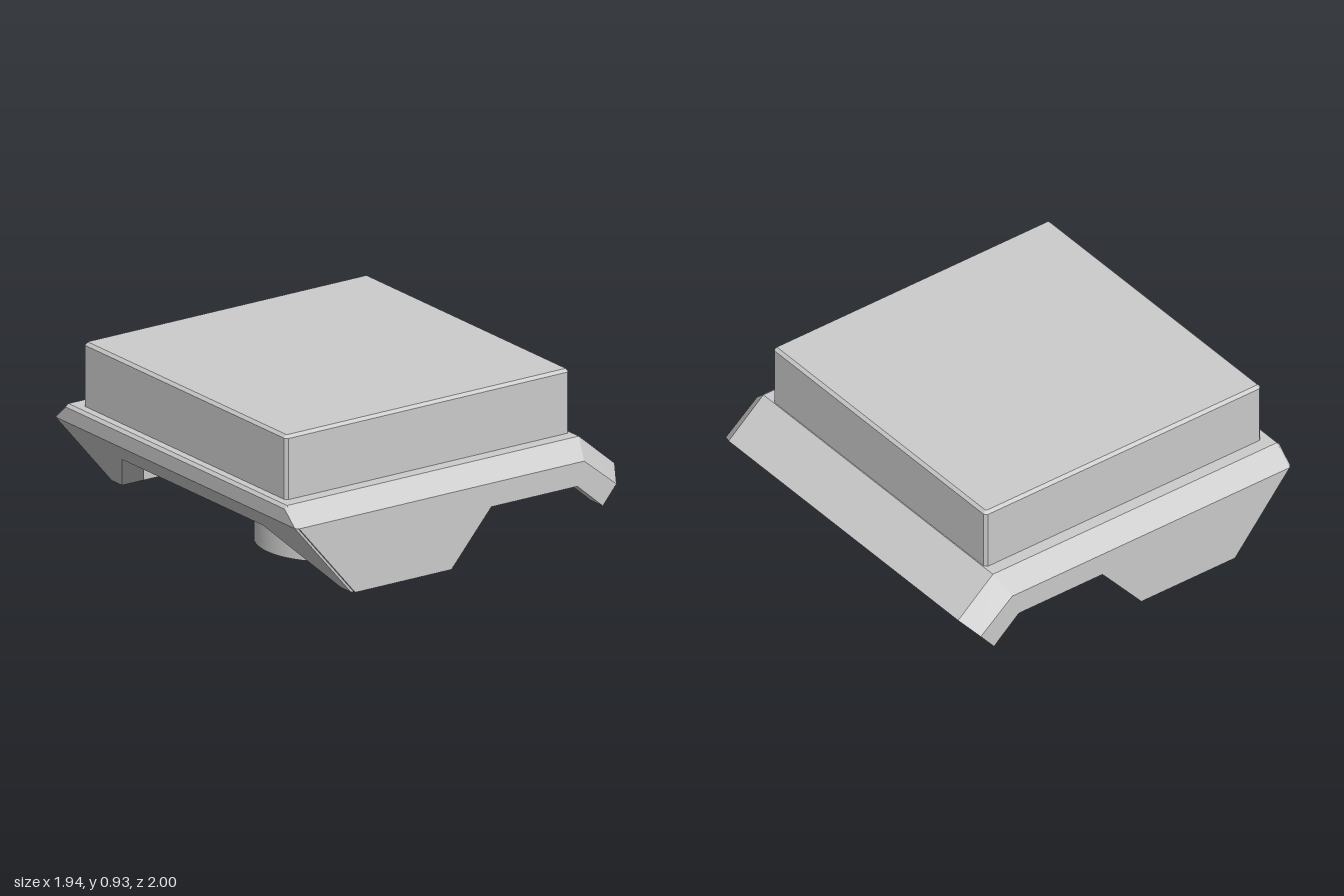
import * as THREE from 'three';
import { ConvexGeometry } from 'three/addons/geometries/ConvexGeometry.js';

const material = new THREE.MeshStandardMaterial({ color: 0xcccccc });

function part(name, geometry) {
  const mesh = new THREE.Mesh(geometry, material);
  mesh.name = name;
  return mesh;
}

const polygon = (points) => new THREE.Shape(points.map(([x, y]) => new THREE.Vector2(x, y)));

// Convex solid mirrored across z: each point is given once, on the +z side
function mirroredHull(points) {
  const all = [];
  for (const [x, y, z] of points) {
    all.push(new THREE.Vector3(x, y, z), new THREE.Vector3(x, y, -z));
  }
  return new ConvexGeometry(all);
}

// Square block with chamfered vertical and top edges
function blockGeometry(half, bottom, top, chamfer) {
  const h = half, c = half - chamfer;
  const shape = polygon([[-c, -h], [c, -h], [h, -c], [h, c], [c, h], [-c, h], [-h, c], [-h, -c]]);
  const geometry = new THREE.ExtrudeGeometry(shape, {
    depth: top - bottom - 2 * chamfer,
    bevelThickness: chamfer, bevelSize: chamfer, bevelOffset: -chamfer, bevelSegments: 1,
  });
  return geometry.rotateX(-Math.PI / 2).translate(0, bottom + chamfer, 0);
}

// Leaning end wall: cut out in the z-y plane, then sheared inward towards its foot
function endWallGeometry() {
  const shape = polygon([
    [-0.985, 0.51], [-0.985, 0.12], [-0.9, 0.12], [-0.58, 0.39],
    [0.58, 0.39], [0.9, 0.12], [0.985, 0.12], [0.985, 0.51],
  ]);
  const geometry = new THREE.ExtrudeGeometry(shape, { depth: 0.13, bevelEnabled: false });
  geometry.rotateY(Math.PI / 2);
  const p = geometry.attributes.position;
  for (let i = 0; i < p.count; i++) {
    p.setX(i, p.getX(i) - 0.97 + (0.51 - p.getY(i)) * (0.33 / 0.39));
  }
  geometry.computeVertexNormals();
  return geometry;
}

export function createModel() {
  const model = new THREE.Group();
  model.name = 'cap';

  // Raised block on top
  const block = part('topBlock', blockGeometry(0.835, 0.54, 0.925, 0.015));
  block.position.x = -0.08;
  model.add(block);

  // Deck plate with bevelled long edges
  model.add(part('deck', mirroredHull([
    [-0.955, 0.6, 0.9], [-0.97, 0.585, 0.9], [-0.97, 0.51, 0.985], [-0.955, 0.51, 1],
    [0.76, 0.6, 0.9], [0.72, 0.51, 1],
  ])));

  // Lip bent downward, mitred to the deck
  model.add(part('bentLip', mirroredHull([
    [0.76, 0.6, 0.9], [0.97, 0.42, 0.9], [0.72, 0.51, 1], [0.91, 0.355, 1],
  ])));

  // Side skirts under both long edges
  const skirtShape = polygon([
    [-0.955, 0.51], [-0.625, 0.12], [-0.06, 0.12], [0.175, 0.39],
    [0.68, 0.39], [0.83, 0.26], [0.91, 0.355], [0.72, 0.51],
  ]);
  const skirtGeometry = new THREE.ExtrudeGeometry(skirtShape, { depth: 0.1, bevelEnabled: false });
  for (const [name, z] of [['frontSkirt', 0.9], ['backSkirt', -1]]) {
    const skirt = part(name, skirtGeometry);
    skirt.position.z = z;
    model.add(skirt);
  }

  model.add(part('endWall', endWallGeometry()));

  // Round post below the deck
  const post = part('post', new THREE.CylinderGeometry(0.348, 0.348, 0.54, 64));
  post.position.set(-0.082, 0.27, 0);
  model.add(post);

  return model;
}
